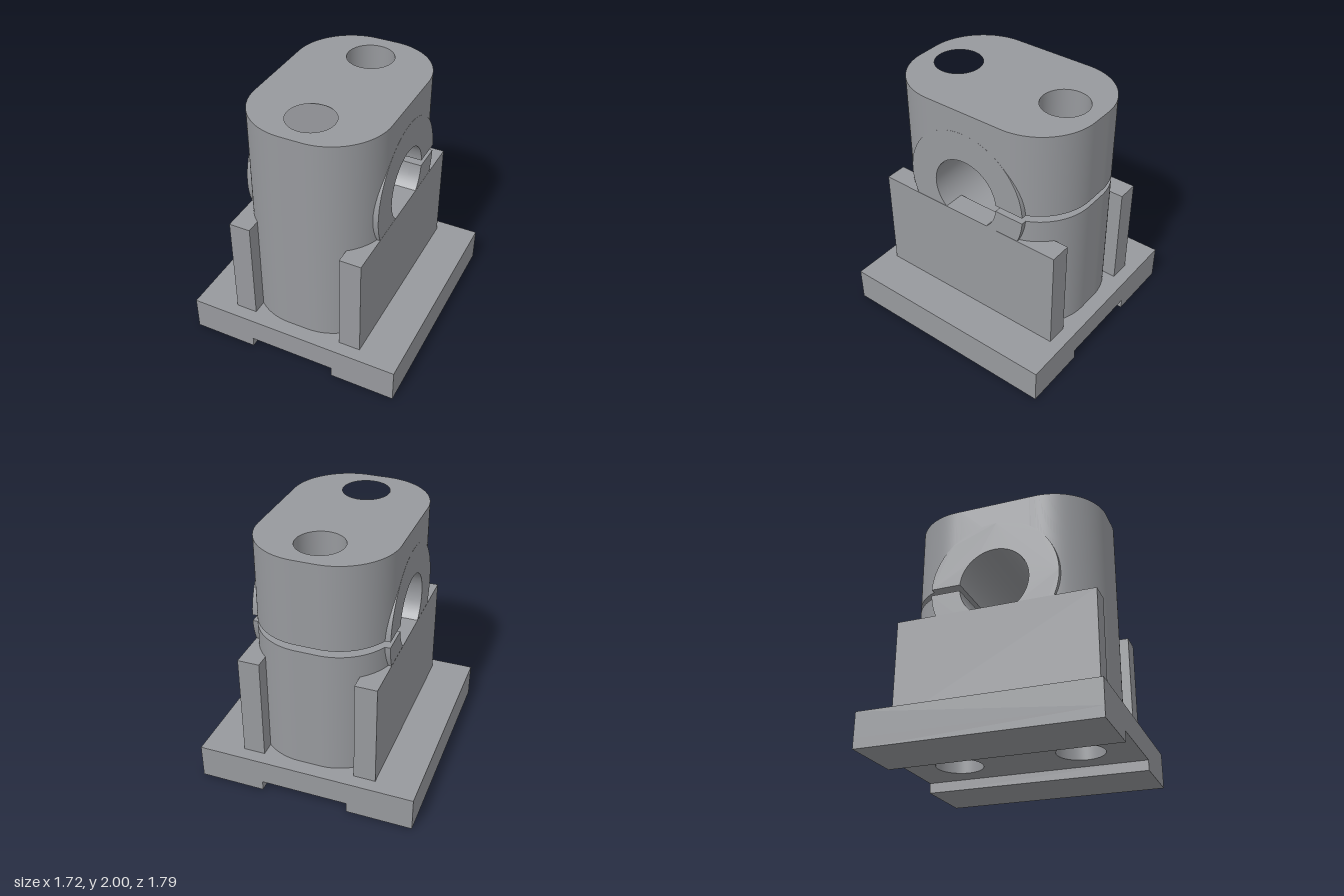
import * as THREE from 'three';
import { toCreasedNormals } from 'three/addons/utils/BufferGeometryUtils.js';

const BORE_Y = 1.31, BORE_R = 0.28, SLOT = 0.025; // shaft bore and clamping slot (half height)
const BOLT_Z = 0.48, BOLT_R = 0.183;              // vertical bolt holes
const W = 0.533, D = 0.777, CORNER = 0.45;        // body half width, half depth, corner radius
const MID = 0.29;                                 // half depth of the middle block

export function createModel() {
  const group = new THREE.Group();
  const metal = new THREE.MeshStandardMaterial({ color: 0x97999d });

  function add(name, geometry) {
    const mesh = new THREE.Mesh(toCreasedNormals(geometry, 0.5), metal);
    mesh.name = name;
    group.add(mesh);
  }
  const extrude = (shape, depth) =>
    new THREE.ExtrudeGeometry(shape, { depth, bevelEnabled: false, curveSegments: 32 });
  // Plan shape (x, -z) raised from y0 to y1
  const extrudeUp = (shape, y0, y1) =>
    extrude(shape, y1 - y0).rotateX(-Math.PI / 2).translate(0, y0, 0);
  // Side shape (-z, y) swept from x0 to x1
  const extrudeAcross = (shape, x0, x1) =>
    extrude(shape, x1 - x0).rotateY(Math.PI / 2).translate(x0, 0, 0);
  const box = (name, w, h, d, x, y, z) =>
    add(name, new THREE.BoxGeometry(w, h, d).translate(x, y, z));

  function boltHole(shape, y) {
    const hole = new THREE.Path();
    hole.absarc(0, y, BOLT_R, 0, Math.PI * 2, true);
    shape.holes.push(hole);
  }

  // Base plate with two bolt holes, on two feet that leave a channel between them
  const plate = new THREE.Shape();
  plate.moveTo(-0.86, -0.897).lineTo(0.86, -0.897).lineTo(0.86, 0.897).lineTo(-0.86, 0.897).closePath();
  boltHole(plate, BOLT_Z);
  boltHole(plate, -BOLT_Z);
  add('basePlate', extrudeUp(plate, 0.08, 0.275));
  for (const s of [1, -1]) {
    const side = s > 0 ? 'left' : 'right';
    box(side + 'Foot', 0.515, 0.08, 1.794, s * 0.6025, 0.04, 0);
    box(side + 'SidePlate', 0.17, 0.83, 1.586, s * 0.45, 0.69, 0);
  }

  // Rounded end of the body, s = 1 for the back and -1 for the front
  function endShape(s) {
    const shape = new THREE.Shape();
    const cy = D - CORNER, cx = W - CORNER;
    shape.moveTo(-W, s * MID).lineTo(W, s * MID).lineTo(W, s * cy);
    shape.absarc(cx, s * cy, CORNER, 0, s * Math.PI / 2, s < 0);
    shape.lineTo(-cx, s * D);
    shape.absarc(-cx, s * cy, CORNER, s * Math.PI / 2, s * Math.PI, s < 0);
    shape.closePath();
    boltHole(shape, s * BOLT_Z);
    return shape;
  }
  add('bodyFront', extrudeUp(endShape(-1), 0.275, 2));
  add('bodyBackLower', extrudeUp(endShape(1), 0.275, BORE_Y - SLOT));
  add('bodyBackUpper', extrudeUp(endShape(1), BORE_Y + SLOT, 2));

  // Bore outline, traced from the upper slot edge round to the lower one
  function traceBore(shape) {
    const a = Math.asin(SLOT / BORE_R);
    shape.lineTo(BORE_R * Math.cos(a), BORE_Y + SLOT);
    shape.absarc(0, BORE_Y, BORE_R, a, Math.PI * 2 - a, false);
  }

  // Middle block carrying the bore, split towards the back
  const middle = new THREE.Shape();
  middle.moveTo(MID, BORE_Y + SLOT);
  traceBore(middle);
  middle.lineTo(MID, BORE_Y - SLOT).lineTo(MID, 0.275).lineTo(-MID, 0.275)
    .lineTo(-MID, 2).lineTo(MID, 2).closePath();
  add('bodyMiddle', extrudeAcross(middle, -W, W));

  // Round bosses on both sides of the bore
  const R = 0.515, b = Math.asin(SLOT / R);
  const boss = new THREE.Shape();
  boss.moveTo(R * Math.cos(b), BORE_Y + SLOT);
  traceBore(boss);
  boss.lineTo(R * Math.cos(b), BORE_Y - SLOT);
  boss.absarc(0, BORE_Y, R, -b, b - Math.PI * 2, true);
  add('leftBoss', extrudeAcross(boss, 0.44, W + 0.001));
  add('rightBoss', extrudeAcross(boss, -W - 0.001, -0.44));

  return group;
}
